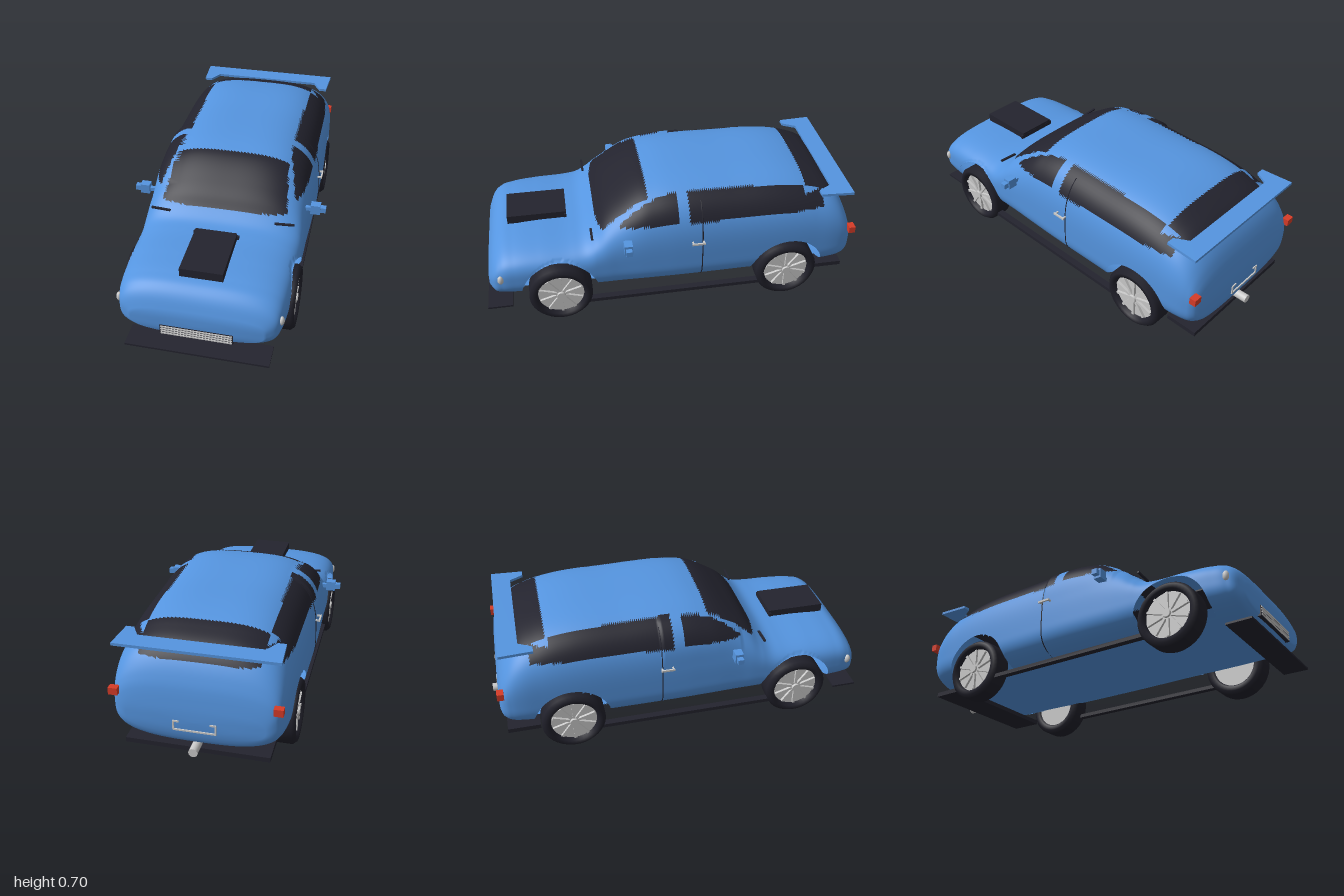
import * as THREE from 'three';

const mat = (name, color, side = THREE.FrontSide) => {
  const m = new THREE.MeshStandardMaterial({ color, side });
  m.name = name;
  return m;
};

// Body stations along z: roof or bonnet height, underside height, half width
const stations = [
  [-0.960, 0.34, 0.20, 0.33], [-0.950, 0.41, 0.165, 0.365], [-0.930, 0.475, 0.145, 0.39],
  [-0.900, 0.535, 0.132, 0.403], [-0.850, 0.593, 0.128, 0.413], [-0.740, 0.648, 0.125, 0.42],
  [-0.600, 0.680, 0.125, 0.425], [-0.300, 0.692, 0.123, 0.428], [0.000, 0.693, 0.123, 0.428],
  [0.090, 0.682, 0.123, 0.426], [0.170, 0.661, 0.123, 0.424], [0.300, 0.583, 0.123, 0.42],
  [0.355, 0.540, 0.123, 0.42], [0.406, 0.487, 0.123, 0.419], [0.460, 0.449, 0.123, 0.418],
  [0.530, 0.435, 0.123, 0.417], [0.700, 0.430, 0.123, 0.413], [0.830, 0.419, 0.124, 0.405],
  [0.900, 0.399, 0.128, 0.394], [0.945, 0.352, 0.14, 0.372], [0.972, 0.290, 0.165, 0.32],
];
const profile = new THREE.CubicInterpolant(
  stations.map((s) => s[0]), stations.flatMap((s) => s.slice(1)), 3, new Float32Array(3));
const TOP_POWER = 3.3, LOW_POWER = 3;

function section(z) {
  const [top, low, width] = profile.evaluate(z);
  return { top, low, width, mid: Math.min(0.3, (top + low) / 2) };
}

// Half width of the body at a given z and y
function sideX(z, y) {
  const { top, low, width, mid } = section(z);
  const p = y > mid ? TOP_POWER : LOW_POWER;
  const v = y > mid ? (y - mid) / (top - mid) : (mid - y) / (mid - low);
  return width * Math.pow(Math.max(0, 1 - Math.pow(v, p)), 1 / p);
}

const WHEEL_Y = 0.165, WHEEL_Z = [0.61, -0.6], ARCH = 0.2;

// Where the shell is glass
function isGlass(x, y, z) {
  const ax = Math.abs(x);
  const windscreen = z > 0.13 && z < 0.408 && ax < 0.29 + (z - 0.13) * 0.14 && y > 0.49;
  const rear = z < -0.695 && ax < 0.29 && y > 0.545;
  const frontSide = z > -0.015 && z < 0.292 && y > 0.543 - z * 0.07
    && ax > 0.292 + Math.max(0, z - 0.05) * 0.25;
  const rearSide = z < -0.07 && z > -0.785 && y > 0.535 && ax > 0.292 && (z > -0.685 || y < 0.6);
  return windscreen || rear || frontSide || rearSide;
}

// Lofted shell with open wheel arches; group 0 is paint, group 1 is glass
function bodyGeometry() {
  const RINGS = 220, SIDES = 152;
  const z0 = stations[0][0], z1 = stations[stations.length - 1][0];
  const rings = [{ z: z0, s: 0, dz: -0.004 }, { z: z0, s: 0.6, dz: -0.003 }];
  for (let i = 0; i <= RINGS; i++) {
    const u = (i / RINGS) * 2 - 1;
    const k = 0.75 * u + 0.25 * Math.sin((u * Math.PI) / 2);
    rings.push({ z: (z0 + z1) / 2 + ((z1 - z0) / 2) * k, s: 1, dz: 0 });
  }
  rings.push({ z: z1, s: 0.6, dz: 0.003 }, { z: z1, s: 0, dz: 0.004 });

  const pos = [];
  for (const { z, s, dz } of rings) {
    const { top, low, width, mid } = section(z);
    for (let j = 0; j < SIDES; j++) {
      const a = (j / SIDES) * Math.PI * 2, c = Math.cos(a), n = Math.sin(a);
      const p = n > 0 ? TOP_POWER : LOW_POWER;
      const r = s * Math.pow(Math.abs(c) ** p + Math.abs(n) ** p, -1 / p);
      let x = r * c * width, y = mid + r * n * (n > 0 ? top - mid : mid - low), vz = z + dz;
      // right door stands slightly proud at its upper edge
      if (x < -0.29 && z > -0.13 && z < 0.3) x -= 0.016 * THREE.MathUtils.smoothstep(y, 0.42, 0.62);
      // pull nearby points onto the arch edge
      for (const wz of WHEEL_Z) {
        const d = Math.hypot(vz - wz, y - WHEEL_Y);
        if (Math.abs(x) > 0.3 && Math.abs(d - ARCH) < 0.008) {
          vz = wz + ((vz - wz) * ARCH) / d;
          y = WHEEL_Y + ((y - WHEEL_Y) * ARCH) / d;
        }
      }
      pos.push(x, y, vz);
    }
  }

  const faces = [[], []];
  const addFace = (...tri) => {
    const [x, y, z] = [0, 1, 2].map((k) => tri.reduce((t, i) => t + pos[i * 3 + k], 0) / 3);
    const open = Math.abs(x) > 0.3
      && WHEEL_Z.some((wz) => Math.hypot(z - wz, y - WHEEL_Y) < ARCH - 0.0005);
    if (!open) faces[isGlass(x, y, z) ? 1 : 0].push(...tri);
  };
  for (let i = 0; i < rings.length - 1; i++) {
    for (let j = 0; j < SIDES; j++) {
      const k = (j + 1) % SIDES;
      const a = i * SIDES + j, b = i * SIDES + k, c = a + SIDES, d = b + SIDES;
      addFace(a, b, c);
      addFace(b, d, c);
    }
  }
  const g = new THREE.BufferGeometry();
  g.setAttribute('position', new THREE.Float32BufferAttribute(pos, 3));
  g.setIndex([...faces[0], ...faces[1]]);
  g.addGroup(0, faces[0].length, 0);
  g.addGroup(faces[0].length, faces[1].length, 1);
  g.computeVertexNormals();
  return g;
}

export function createModel() {
  const paint = mat('blue paint', 0x5595e0, THREE.DoubleSide);
  const dark = mat('dark glass and trim', 0x23232e, THREE.DoubleSide);
  const rubber = mat('tyre rubber', 0x20202a);
  const silver = mat('silver', 0xcacaca);
  const red = mat('red lamp', 0xd63c28);

  const car = new THREE.Group();
  car.name = 'car';
  const add = (name, geo, material, x = 0, y = 0, z = 0, parent = car) => {
    const m = new THREE.Mesh(geo, material);
    m.name = name;
    m.position.set(x, y, z);
    parent.add(m);
    return m;
  };
  const box = (name, material, w, h, d, x, y, z, parent) =>
    add(name, new THREE.BoxGeometry(w, h, d), material, x, y, z, parent);

  add('body', bodyGeometry(), [paint, dark]);

  // Wheels, built along y with the outer face up
  const tyre = new THREE.LatheGeometry([
    [0.115, -0.05], [0.125, -0.06], [0.148, -0.06], [0.165, -0.042], [0.165, 0.042],
    [0.15, 0.06], [0.127, 0.058], [0.118, 0.03],
  ].map(([r, y]) => new THREE.Vector2(r, y)), 40);
  const rim = new THREE.CylinderGeometry(0.12, 0.12, 0.085, 40);
  const spoke = new THREE.BoxGeometry(0.1, 0.016, 0.014);
  const hub = new THREE.CylinderGeometry(0.02, 0.026, 0.025, 20);
  for (const side of [1, -1]) {
    for (const z of WHEEL_Z) {
      const wheel = new THREE.Group();
      wheel.name = z > 0 ? 'frontWheel' : 'rearWheel';
      wheel.position.set(side * 0.371, WHEEL_Y, z);
      wheel.rotation.z = (-side * Math.PI) / 2;
      car.add(wheel);
      add('tyre', tyre, rubber, 0, 0, 0, wheel);
      add('rim', rim, silver, 0, -0.0075, 0, wheel);
      add('hub', hub, silver, 0, 0.045, 0, wheel);
      for (let i = 0; i < 10; i++) {
        const a = (i / 10) * Math.PI * 2;
        add('spoke', spoke, silver, Math.cos(a) * 0.065, 0.04, -Math.sin(a) * 0.065, wheel).rotation.y = a;
      }
    }
  }

  // Parts on both sides
  const lamp = new THREE.SphereGeometry(1, 20, 14);
  for (const s of [1, -1]) {
    box('mirrorStem', paint, 0.05, 0.02, 0.02, s * 0.42, 0.46, 0.255);
    box('mirrorHousing', paint, 0.05, 0.052, 0.042, s * 0.455, 0.465, 0.255);
    box('mirrorTip', paint, 0.03, 0.028, 0.03, s * 0.493, 0.464, 0.255);
    box('doorHandle', silver, 0.008, 0.01, 0.07, s * 0.446, 0.431, -0.108);
    for (const z of [-0.08, -0.136]) box('handlePost', silver, 0.04, 0.008, 0.008, s * 0.428, 0.431, z);
    add('headlight', lamp, silver, s * 0.392, 0.287, 0.907).scale.set(0.014, 0.025, 0.016);
    box('tailLight', red, 0.045, 0.036, 0.034, s * 0.386, 0.383, -0.947);
    box('sideSkirt', dark, 0.035, 0.02, 0.98, s * 0.395, 0.095, 0.005);
    box('wiper', dark, 0.1, 0.008, 0.012, s * 0.32, 0.468, 0.428).rotation.z = s * 0.06;

    // door seam follows the body side
    const seam = [];
    for (let y = 0.15; y < 0.67; y += 0.04) {
      seam.push(new THREE.Vector3(s * sideX(-0.133, y), y, -0.133));
    }
    add('doorSeam', new THREE.TubeGeometry(new THREE.CatmullRomCurve3(seam), 30, 0.003, 5), dark);
  }

  // Bonnet scoop
  box('bonnetScoop', dark, 0.21, 0.045, 0.31, 0, 0.445, 0.7);
  box('scoopLip', dark, 0.23, 0.02, 0.012, 0, 0.446, 0.55);

  // Grille with bars
  box('grille', dark, 0.355, 0.056, 0.02, 0, 0.183, 0.968);
  for (let i = 0; i < 4; i++) box('grilleBar', silver, 0.345, 0.007, 0.006, 0, 0.163 + i * 0.0137, 0.979);

  // Front splitter and rear diffuser
  box('frontSplitter', dark, 0.71, 0.01, 0.13, 0, 0.066, 0.935);
  box('rearDiffuser', dark, 0.7, 0.024, 0.17, 0, 0.106, -0.855);

  // Rear wing with arms reaching forward along the body
  const wing = new THREE.Shape([
    [-0.39, 0.93], [0.39, 0.93], [0.38, 0.76], [0.34, 0.76], [0.3, 0.83], [-0.3, 0.83], [-0.34, 0.76], [-0.38, 0.76],
  ].map(([x, y]) => new THREE.Vector2(x, y)));
  const wingGeo = new THREE.ExtrudeGeometry(wing, { depth: 0.014, bevelEnabled: false });
  add('rearWing', wingGeo, paint, 0, 0.605, 0).rotation.x = -Math.PI / 2;

  // Plate bracket and exhaust
  box('plateBracketBase', silver, 0.2, 0.008, 0.012, 0, 0.225, -0.963);
  for (const s of [1, -1]) {
    box('plateBracketSide', silver, 0.008, 0.05, 0.012, s * 0.1, 0.247, -0.963);
    box('plateBracketTab', silver, 0.03, 0.008, 0.012, s * 0.088, 0.27, -0.963);
  }
  add('exhaust', new THREE.CylinderGeometry(0.022, 0.022, 0.09, 24), silver, 0, 0.13, -0.955).rotation.x = Math.PI / 2;

  return car;
}
